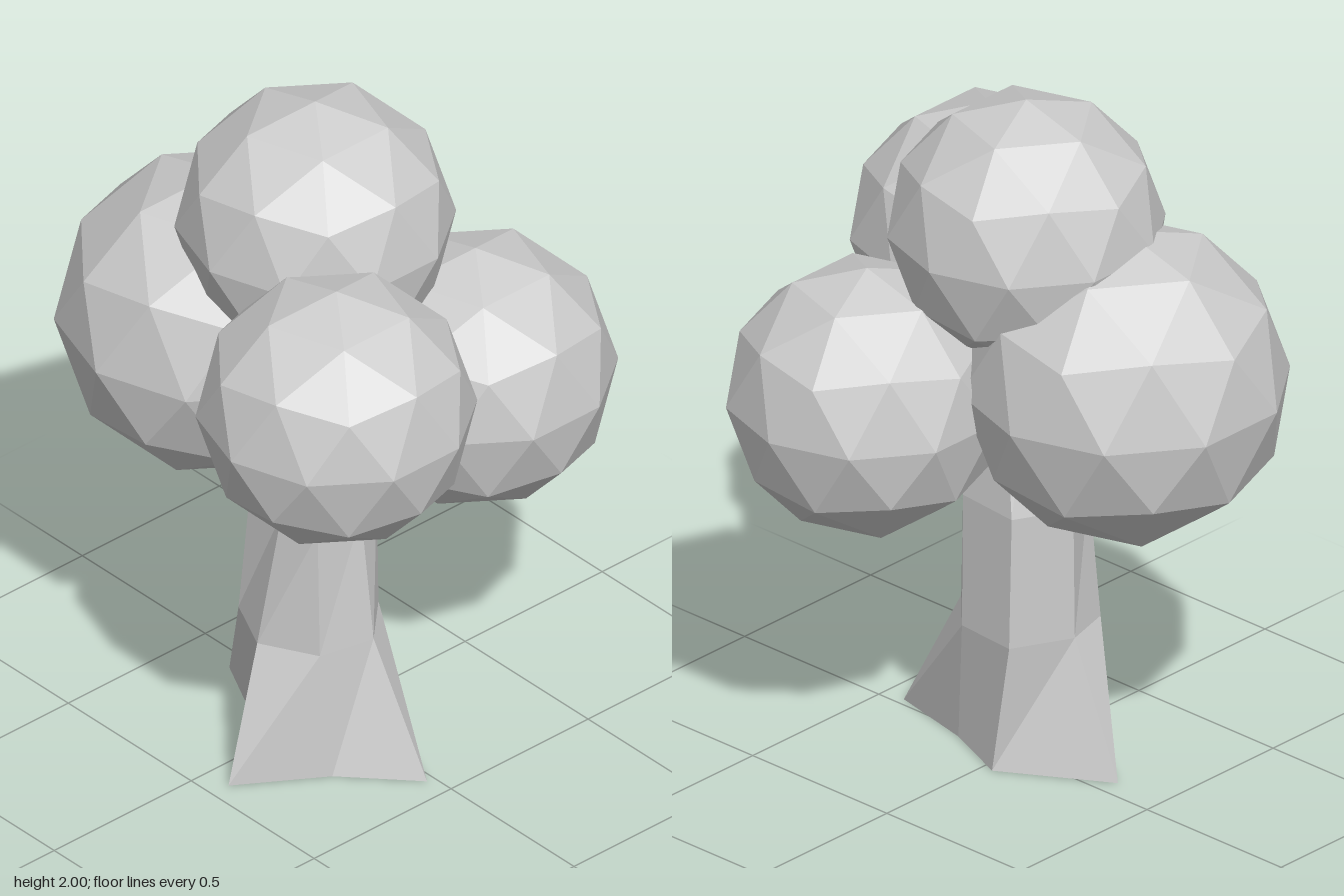
import * as THREE from 'three';

const material = new THREE.MeshStandardMaterial({ color: 0xcccccc, flatShading: true });

// Leaf clumps: [name, x, y, z, radius]
const CLUMPS = [
  ['topFoliage', -0.035, 1.615, 0.016, 0.385],
  ['rightFoliage', -0.32, 1.21, 0.105, 0.456],
  ['leftFoliage', 0.389, 1.345, 0.319, 0.385],
  ['backFoliage', 0.248, 1.12, -0.315, 0.39],
];

// Trunk cross-sections: height and seven [x, z] corners, from +x round by the front
const SECTIONS = [
  [0, [[0.43, 0.025], [0.24, 0.2], [0.085, 0.44], [-0.06, 0.2], [-0.335, 0.06], [-0.035, -0.12], [0.17, -0.035]]],
  [0.38, [[0.235, 0.045], [0.2, 0.21], [0.04, 0.295], [-0.125, 0.215], [-0.165, 0.07], [-0.08, -0.1], [0.11, -0.085]]],
  [0.77, [[0.19, 0.05], [0.18, 0.2], [0.045, 0.21], [-0.095, 0.2], [-0.16, 0.07], [-0.08, -0.09], [0.12, -0.07]]],
  [1.3, [[0.26, 0.06], [0.25, 0.195], [0.135, 0.205], [0.04, 0.19], [-0.01, 0.08], [0.06, 0.02], [0.2, 0.03]]],
];

function trunkGeometry() {
  const sides = 7;
  const positions = [];
  const index = [];
  for (const [y, ring] of SECTIONS) {
    for (const [x, z] of ring) positions.push(x, y, z);
  }
  // Side walls between neighbouring sections
  for (let s = 0; s < SECTIONS.length - 1; s++) {
    for (let i = 0; i < sides; i++) {
      const a = s * sides + i;
      const b = s * sides + (i + 1) % sides;
      index.push(a, a + sides, b, b, a + sides, b + sides);
    }
  }
  // Caps as fans round a centre point
  const bottom = SECTIONS.length * sides;
  const topRing = bottom - sides;
  positions.push(0.06, 0, 0.09, 0.13, 1.3, 0.11);
  for (let i = 0; i < sides; i++) {
    const j = (i + 1) % sides;
    index.push(bottom, i, j, bottom + 1, topRing + j, topRing + i);
  }
  const geometry = new THREE.BufferGeometry();
  geometry.setAttribute('position', new THREE.Float32BufferAttribute(positions, 3));
  geometry.setIndex(index);
  const flat = geometry.toNonIndexed();
  flat.computeVertexNormals();
  return flat;
}

export function createModel() {
  const tree = new THREE.Group();
  tree.name = 'tree';

  const trunk = new THREE.Mesh(trunkGeometry(), material);
  trunk.name = 'trunk';
  tree.add(trunk);

  // Faceted ball turned so that one corner points straight up
  const ball = new THREE.IcosahedronGeometry(1, 1);
  ball.rotateZ(Math.atan(2 / (1 + Math.sqrt(5))));
  for (const [name, x, y, z, radius] of CLUMPS) {
    const clump = new THREE.Mesh(ball, material);
    clump.name = name;
    clump.position.set(x, y, z);
    clump.scale.setScalar(radius);
    tree.add(clump);
  }
  return tree;
}
